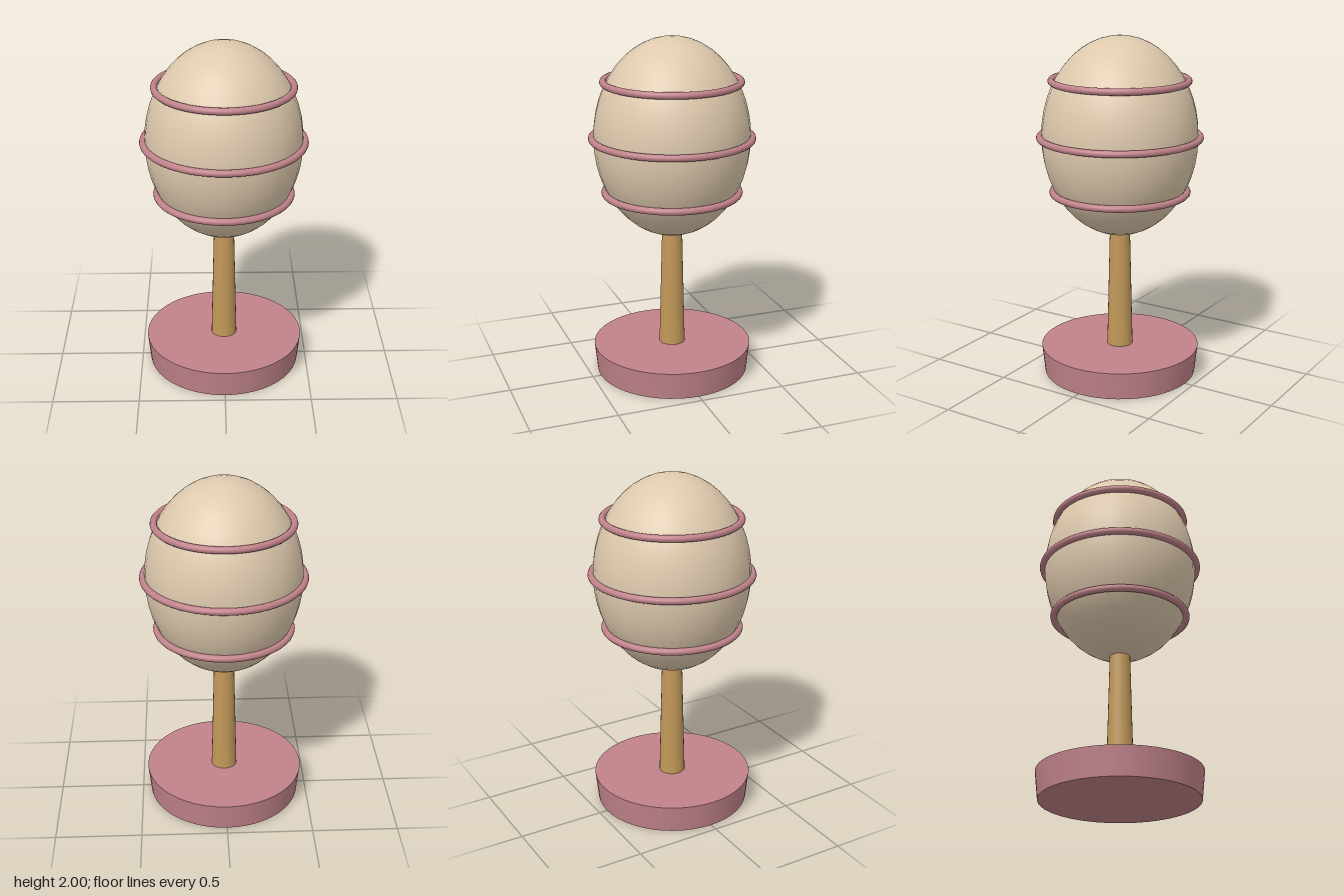
import * as THREE from 'three';

export function createModel() {
  const model = new THREE.Group();
  const material = (name, color) => {
    const m = new THREE.MeshStandardMaterial({ color });
    m.name = name;
    return m;
  };
  const cream = material('cream', 0xdec9ad);
  const pink = material('dusty pink', 0xc0828a);
  const wood = material('wood', 0xc2995a);

  const add = (name, geometry, mat, y) => {
    const mesh = new THREE.Mesh(geometry, mat);
    mesh.name = name;
    mesh.position.y = y;
    model.add(mesh);
    return mesh;
  };

  // Round base, slightly wider at the top
  add('base', new THREE.CylinderGeometry(0.467, 0.45, 0.163, 48), pink, 0.0815);

  // Tapered stem, running up into the body
  add('stem', new THREE.CylinderGeometry(0.058, 0.076, 0.74, 24), wood, 0.163 + 0.37);

  // Egg-shaped body
  const bodyY = 1.425, bodyR = 0.449, bodyH = 0.575;
  add('body', new THREE.SphereGeometry(1, 32, 24), cream, bodyY).scale.set(bodyR, bodyH, bodyR);

  // Three horizontal bands around the body
  for (const [name, dy, radius] of [
    ['lowerBand', -0.322, 0.388],
    ['middleBand', 0, 0.458],
    ['upperBand', 0.322, 0.388],
  ]) {
    const ring = new THREE.TorusGeometry(radius, 0.02, 12, 64).rotateX(Math.PI / 2);
    add(name, ring, pink, bodyY + dy);
  }
  return model;
}
